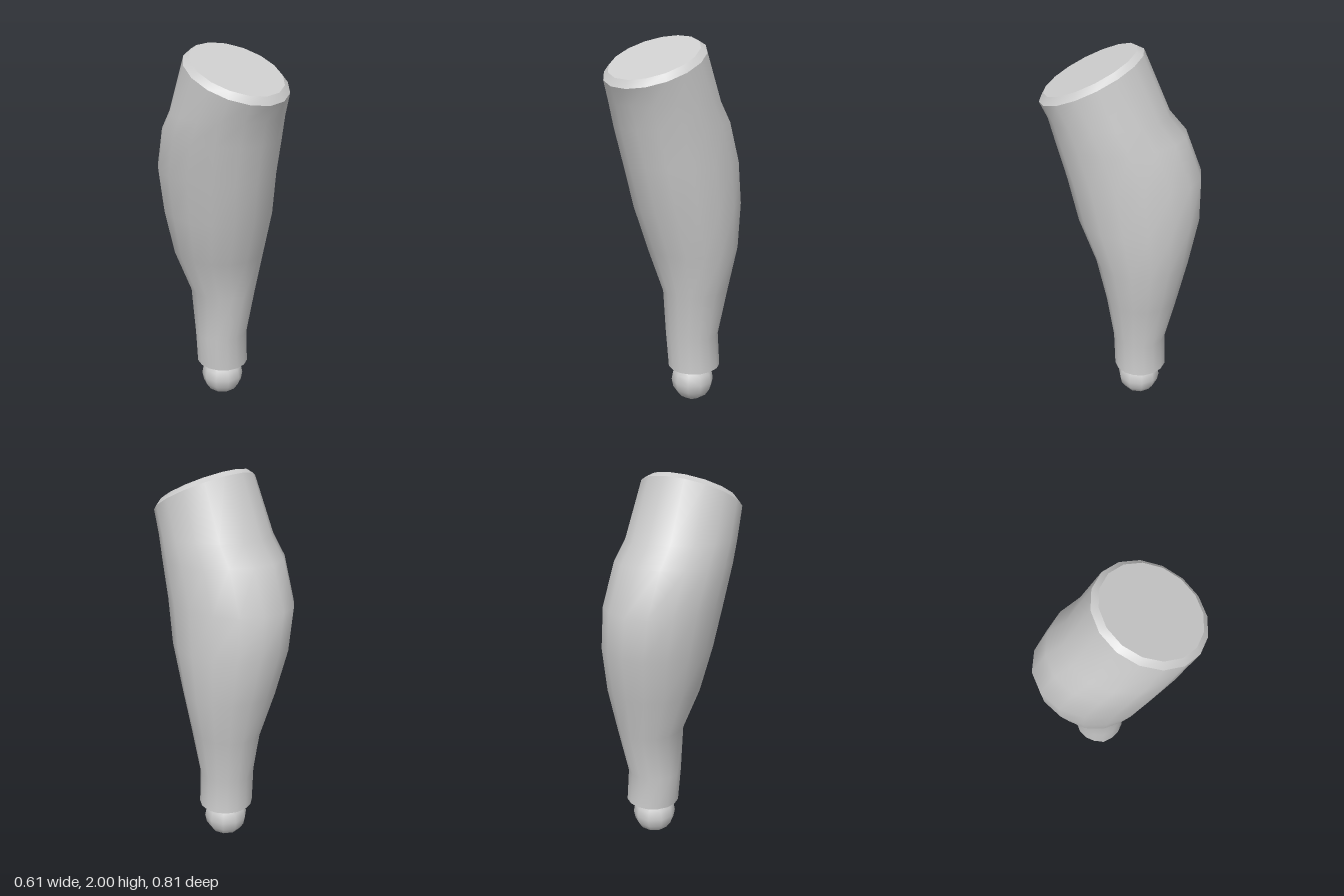
import * as THREE from 'three';

const SIDES = 16;
const material = new THREE.MeshStandardMaterial({ color: 0xcccccc });

// Cross-sections: [xMin, xMax, front z, front y, back z, back y], bottom to top
const legRings = [
  [-0.08, 0.21, 0.055, 0.205, -0.235, 0.215],
  [-0.095, 0.20, 0.06, 0.40, -0.23, 0.40],
  [-0.105, 0.245, 0.10, 0.66, -0.287, 0.66],
  [-0.20, 0.293, 0.15, 0.89, -0.345, 0.90],
  [-0.253, 0.303, 0.235, 1.13, -0.40, 1.14],
  [-0.29, 0.292, 0.285, 1.36, -0.405, 1.36],
  [-0.305, 0.275, 0.335, 1.55, -0.32, 1.58],
  [-0.30, 0.255, 0.365, 1.67, -0.235, 1.68],
  [-0.285, 0.23, 0.403, 1.75, -0.103, 1.985],
];
const kneeRing = [-0.258, 0.20, 0.38, 1.79, -0.07, 2.0];

// A ring shrunk to its own centre, used to close an end
function centreOf([x0, x1, zf, yf, zb, yb]) {
  const x = (x0 + x1) / 2, y = (yf + yb) / 2, z = (zf + zb) / 2;
  return [x, x, z, y, z, y];
}

// Smooth skin over a stack of tilted elliptical rings
function loft(name, rings) {
  const positions = [], index = [];
  for (const [x0, x1, zf, yf, zb, yb] of rings) {
    for (let j = 0; j < SIDES; j++) {
      const a = (j / SIDES) * Math.PI * 2, c = Math.cos(a), s = Math.sin(a);
      positions.push(
        (x0 + x1) / 2 + c * (x1 - x0) / 2,
        (yf + yb) / 2 + s * (yf - yb) / 2,
        (zf + zb) / 2 + s * (zf - zb) / 2);
    }
  }
  for (let i = 0; i < rings.length - 1; i++) {
    for (let j = 0; j < SIDES; j++) {
      const a = i * SIDES + j, b = i * SIDES + (j + 1) % SIDES;
      index.push(a, a + SIDES, b, b, a + SIDES, b + SIDES);
    }
  }
  const geometry = new THREE.BufferGeometry();
  geometry.setAttribute('position', new THREE.Float32BufferAttribute(positions, 3));
  geometry.setIndex(index);
  geometry.computeVertexNormals();
  const mesh = new THREE.Mesh(geometry, material);
  mesh.name = name;
  return mesh;
}

export function createModel() {
  const group = new THREE.Group();
  group.name = 'lowerLeg';
  const top = legRings[legRings.length - 1], bottom = legRings[0];

  // Separate skins keep the rim and end faces crisp
  group.add(
    loft('calf', legRings),
    loft('kneeBevel', [top, kneeRing]),
    loft('kneeFace', [kneeRing, centreOf(kneeRing)]),
    loft('ankleFace', [centreOf(bottom), bottom]));

  // Ball joint under the ankle
  const ball = new THREE.Mesh(new THREE.SphereGeometry(0.118, 10, 8), material);
  ball.name = 'ankleBall';
  ball.position.set(0.06, 0.118, -0.083);
  group.add(ball);

  return group;
}
